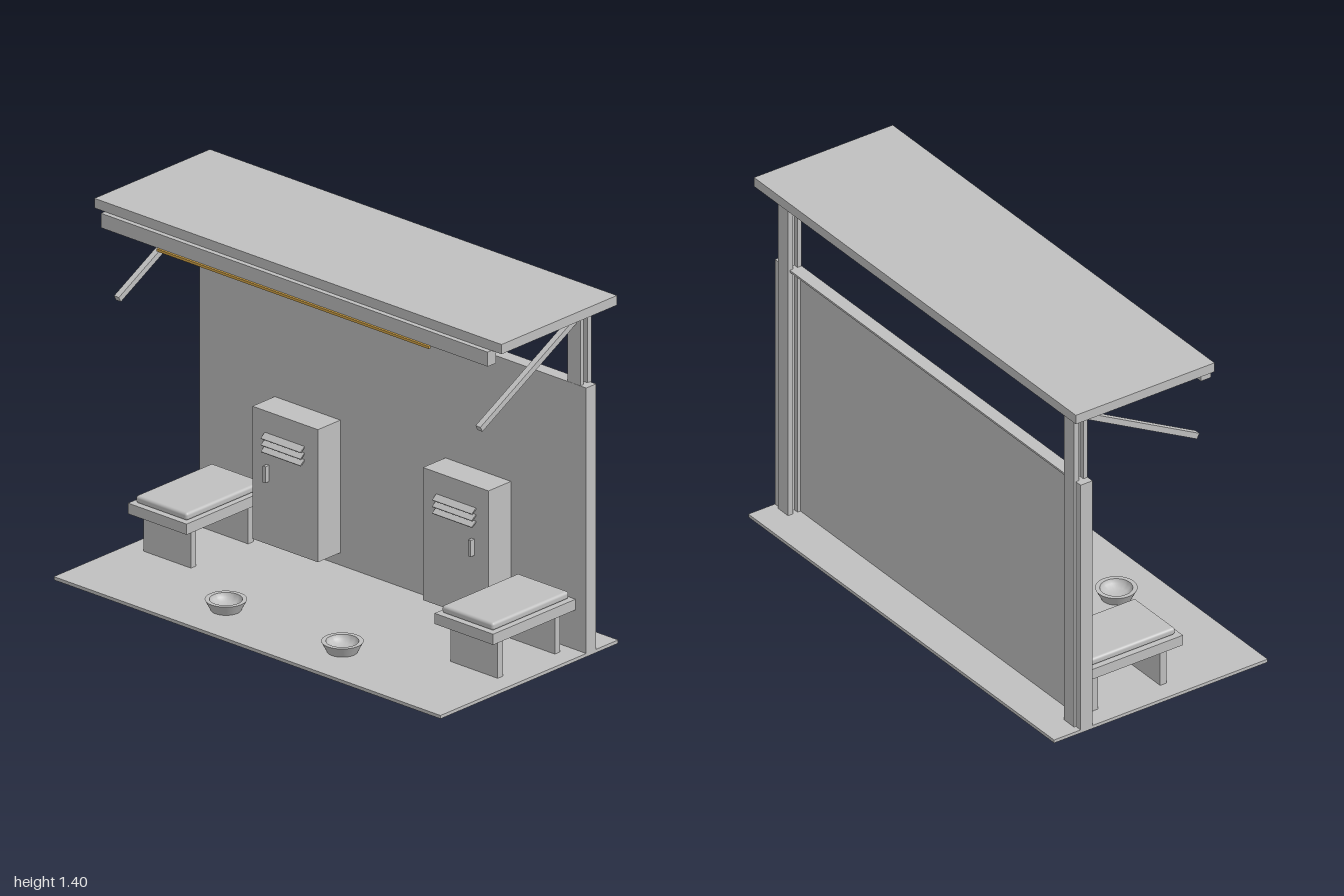
import * as THREE from 'three';
import { toCreasedNormals } from 'three/addons/utils/BufferGeometryUtils.js';
import { RoundedBoxGeometry } from 'three/addons/geometries/RoundedBoxGeometry.js';

export function createModel() {
  const grey = new THREE.MeshStandardMaterial({ color: 0xbfbfbf });
  grey.name = 'grey';
  const amber = new THREE.MeshStandardMaterial({ color: 0xd4a548 });
  amber.name = 'amber';

  const model = new THREE.Group();
  model.name = 'shelter';

  const group = (name, parent = model) => {
    const g = new THREE.Group();
    g.name = name;
    parent.add(g);
    return g;
  };
  const add = (name, geometry, parent = model, material = grey) => {
    const mesh = new THREE.Mesh(geometry, material);
    mesh.name = name;
    parent.add(mesh);
    return mesh;
  };
  // Box given by its extents along each axis
  const box = (name, x0, x1, y0, y1, z0, z1, parent, material) => {
    const mesh = add(name, new THREE.BoxGeometry(x1 - x0, y1 - y0, z1 - z0), parent, material);
    mesh.position.set((x0 + x1) / 2, (y0 + y1) / 2, (z0 + z1) / 2);
    return mesh;
  };

  box('floor', -0.95, 0.95, 0, 0.013, -0.475, 0.475);

  // Back wall: thin panel with a top lip and side flanges, open at the rear
  const wall = group('backWall');
  box('wallPanel', -0.95, 0.95, 0.013, 1.056, -0.31, -0.304, wall);
  box('wallTopLip', -0.95, 0.95, 1.048, 1.056, -0.357, -0.31, wall);

  // Canopy with front beam and light strip
  const canopy = group('canopy');
  box('roof', -1, 1, 1.362, 1.4, -0.414, 0.203, canopy);
  box('frontBeam', -0.95, 0.95, 1.305, 1.362, 0.178, 0.223, canopy);
  box('lightStrip', -0.668, 0.668, 1.296, 1.306, 0.222, 0.232, canopy, amber);

  // Bowl profile: outside, rim, then inside
  const bowlProfile = [[0, 0.013], [0.056, 0.013], [0.077, 0.054], [0.06, 0.054], [0.055, 0.038],
    [0.04, 0.027], [0.02, 0.023], [0, 0.022]].map(([r, y]) => new THREE.Vector2(r, y));
  const bowlGeometry = toCreasedNormals(new THREE.LatheGeometry(bowlProfile, 40), 0.7);

  for (const s of [-1, 1]) {
    const side = s > 0 ? 'left' : 'right';
    // Box placed on this side, from inner to outer distance
    const sideBox = (name, a, b, ...rest) =>
      box(name, Math.min(s * a, s * b), Math.max(s * a, s * b), ...rest);

    sideBox(side + 'WallFlange', 0.92, 0.95, 0.013, 1.05, -0.357, -0.308, wall);

    // H-section post
    const post = group(side + 'Post');
    sideBox('frontFlange', 0.857, 0.92, 0.013, 1.362, -0.323, -0.305, post);
    sideBox('web', 0.877, 0.9, 0.013, 1.362, -0.344, -0.322, post);
    sideBox('rearFlange', 0.857, 0.92, 0.013, 1.362, -0.365, -0.343, post);

    // Sloping strut from the post down towards the front
    const dz = 0.51, dy = -0.272;
    const strut = add(side + 'Strut', new THREE.BoxGeometry(0.024, 0.023, Math.hypot(dz, dy)));
    strut.position.set(s * 0.888, 1.173, -0.053);
    strut.rotation.x = Math.atan2(-dy, dz);

    // Locker with tilted vent slats and handle
    const locker = group(side + 'Locker');
    sideBox('lockerBody', 0.258, 0.58, 0.062, 0.583, -0.305, -0.184, locker);
    for (let i = 0; i < 3; i++) {
      const slat = add('ventSlat', new THREE.BoxGeometry(0.195, 0.005, 0.028), locker);
      slat.position.set(s * 0.421, 0.488 - i * 0.026, -0.174);
      slat.rotation.x = 0.65;
    }
    sideBox('handle', 0.498, 0.511, 0.31, 0.374, -0.185, -0.164, locker);

    // Bench with cushion and two panel legs
    const bench = group(side + 'Bench');
    sideBox('seat', 0.609, 0.897, 0.169, 0.211, -0.305, 0.136, bench);
    const cushion = add('cushion', new RoundedBoxGeometry(0.253, 0.03, 0.409, 4, 0.011), bench);
    cushion.position.set(s * 0.752, 0.226, -0.0875);
    for (const z of [0.068, -0.237]) {
      sideBox('leg', 0.637, 0.87, 0.004, 0.17, z - 0.014, z + 0.014, bench);
    }

    const bowl = add(side + 'Bowl', bowlGeometry);
    bowl.position.set(s * 0.286, 0, 0.277);
  }
  return model;
}
